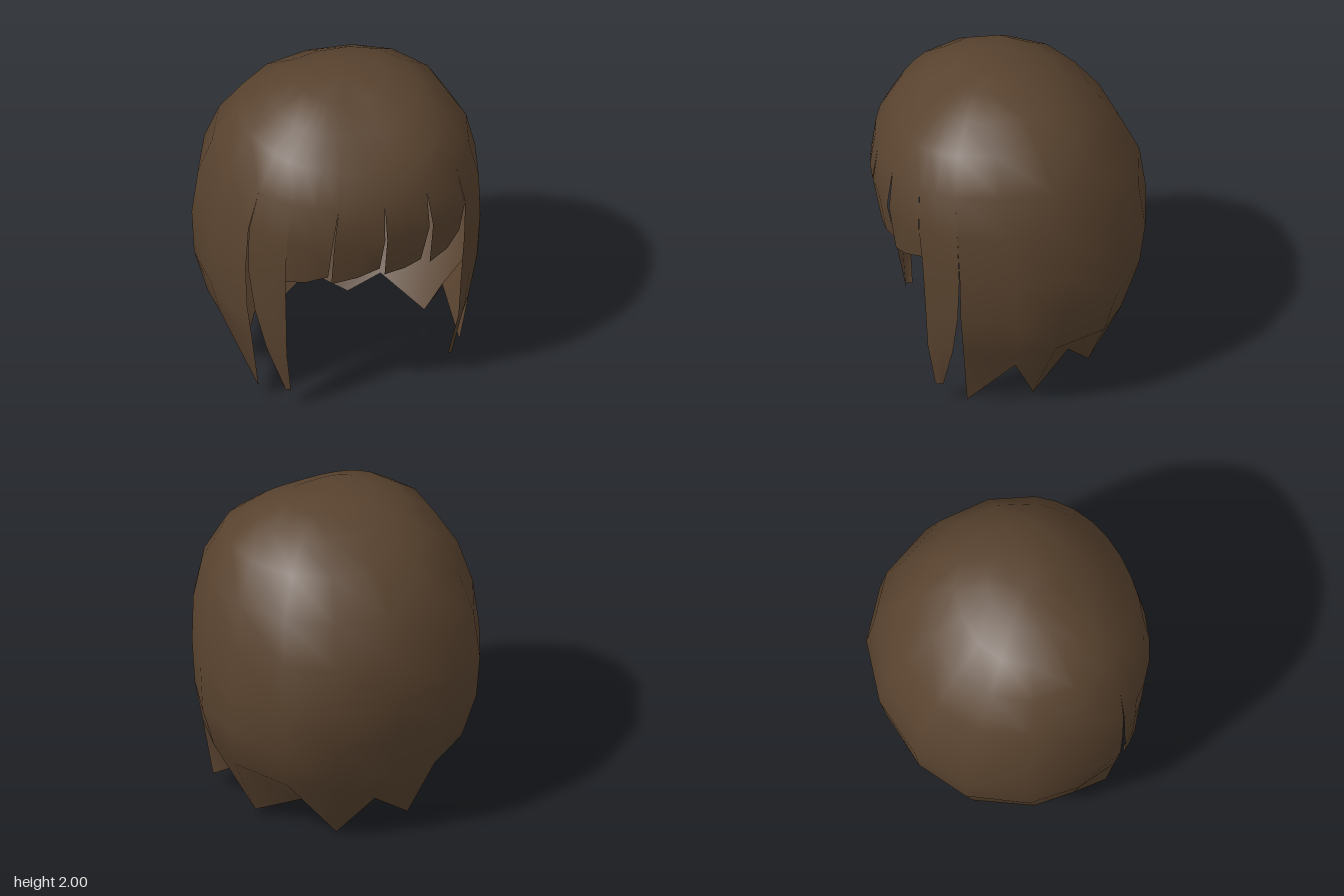
import * as THREE from 'three';

// Head-shaped rings from crown to hem:
// [centre z, front radius, side radius, back radius, front y, side y, back y]
const RINGS = [
  [0.10, 0.00, 0.00, 0.00, 2.00, 2.00, 2.00],
  [0.10, 0.21, 0.26, 0.20, 1.95, 1.97, 1.97],
  [0.10, 0.40, 0.45, 0.38, 1.84, 1.90, 1.90],
  [0.09, 0.58, 0.62, 0.57, 1.69, 1.78, 1.77],
  [0.06, 0.72, 0.75, 0.71, 1.50, 1.56, 1.55],
  [0.02, 0.79, 0.82, 0.79, 1.27, 1.30, 1.30],
  [0.00, 0.76, 0.85, 0.81, 1.00, 1.00, 1.02],
  [0.00, 0.73, 0.84, 0.77, 0.72, 0.72, 0.76],
  [0.00, 0.76, 0.77, 0.65, 0.40, 0.47, 0.40],
  [0.00, 0.84, 0.57, 0.45, 0.00, 0.00, 0.00],
];
const CAP = 4; // ring where the cap ends and the separate strands begin

// Point on the hair surface; azimuth in degrees from the front towards +x
function surface(deg, t, offset = 0) {
  const i = Math.min(Math.floor(t), RINGS.length - 2);
  const [cz, rf, rs, rb, yf, ys, yb] = RINGS[i].map((v, k) => THREE.MathUtils.lerp(v, RINGS[i + 1][k], t - i));
  const a = THREE.MathUtils.degToRad(deg);
  const c = Math.cos(a);
  const full = (c > 0 ? 0.035 : 0.02) * rs * Math.sin(2 * a) ** 2;
  const r = rs + ((c > 0 ? rf : rb) - rs) * c * c + full + offset;
  const y = ys + ((c > 0 ? yf : yb) - ys) * c * c;
  return new THREE.Vector3(r * Math.sin(a), y, cz + r * c);
}

function surfaceNormal(deg, t) {
  const down = surface(deg, t + 0.5).sub(surface(deg, Math.max(t - 0.5, 0)));
  const across = surface(deg + 3, t + 0.02).sub(surface(deg - 3, t + 0.02));
  return t === 0 ? new THREE.Vector3(0, 1, 0) : down.cross(across).normalize();
}

// Ring parameter at a given height
function ringAt(deg, y) {
  let lo = 0, hi = RINGS.length - 1;
  for (let k = 0; k < 30; k++) {
    const mid = (lo + hi) / 2;
    if (surface(deg, mid).y > y) lo = mid; else hi = mid;
  }
  return hi;
}

// Sheet from columns of points; normalAt may override the computed normals
function sheet(name, columns, material, normalAt) {
  const rows = columns[0].length, index = [];
  for (let j = 0; j < columns.length - 1; j++) {
    for (let i = 0; i < rows - 1; i++) {
      const a = j * rows + i, d = a + rows;
      index.push(a, a + 1, d + 1, a, d + 1, d);
    }
  }
  const geometry = new THREE.BufferGeometry().setFromPoints(columns.flat());
  geometry.setIndex(index);
  geometry.computeVertexNormals();
  columns.forEach((col, j) => col.forEach((p, i) => {
    const n = normalAt(j, i);
    if (n) geometry.attributes.normal.setXYZ(j * rows + i, n.x, n.y, n.z);
  }));
  const mesh = new THREE.Mesh(geometry, material);
  mesh.name = name;
  return mesh;
}

// Strand columns: [top azimuth, bottom azimuth, bottom y, bottom offset, bend power]
const mirror = (cols) => cols.map(([a, b, ...rest]) => [-a, -b, ...rest]).reverse();
const lock = (bend) => [
  [42, 43, 0.13, -0.03, 1], [51, 45, 0.13, -0.01, bend], [60, 47, 0.13, -0.03, bend],
];
// Valleys of the hem curl inwards to the line between their tips
const backHalf = [
  [60, 60, 0.08, 0.05, 1], [81, 83, 0.29, -0.06, 1], [105, 94, 0.04, -0.02, 4],
  [130, 126, 0.19, -0.15, 4], [153, 151, 0.0, 0, 4],
];
const PANELS = {
  fringeOuterRight: [[-42, -43, 0.97, -0.02, 1], [-32, -34, 0.995, 0, 1], [-22, -25, 1.02, -0.02, 1]],
  fringeInnerRight: [[-22, -23.5, 0.98, 0, 1], [-11, -12, 1.005, 0, 1], [0, -1.5, 1.03, -0.02, 1]],
  fringeInnerLeft: [[0, 0.4, 0.99, 0, 1], [11, 10, 1.0, 0, 1], [22, 19, 1.01, -0.02, 1]],
  fringeOuterLeft: [[22, 22.5, 0.98, 0, 1], [32, 31.5, 1.02, 0, 1], [42, 42, 1.06, -0.03, 1]],
  sideLockLeft: lock(4.5),
  sideLockRight: mirror(lock(2.5)),
  backHair: [
    ...backHalf,
    [180, 180, 0.18, -0.08, 1],
    ...mirror(backHalf).map(([a, b, ...rest]) => [a + 360, b + 360, ...rest]),
  ],
};

export function createModel() {
  const hair = new THREE.Group();
  hair.name = 'hair';
  const material = new THREE.MeshStandardMaterial({ color: 0x59432f, side: THREE.DoubleSide });

  // Crown, with the same column angles as the strands below it
  const tops = [...new Set(Object.values(PANELS).flat().map(([a]) => (a < -59 ? a + 360 : a)))].sort((p, q) => p - q);
  tops.push(tops[0] + 360);
  const crown = tops.map((a) => Array.from({ length: CAP + 1 }, (_, t) => surface(a, t)));
  hair.add(sheet('crown', crown, material, (j, i) => surfaceNormal(tops[j], i)));

  // Fringe, side locks and the jagged back: whole rings, then the cut end
  for (const [name, cols] of Object.entries(PANELS)) {
    const rows = name.startsWith('fringe') ? 2 : 5;
    const points = cols.map(([top, bottom, y, offset, bend]) => Array.from({ length: rows + 1 }, (_, i) => {
      const azimuth = top + (bottom - top) * (i / rows) ** bend;
      return i < rows ? surface(azimuth, CAP + i) : surface(azimuth, ringAt(bottom, y), offset);
    }));
    hair.add(sheet(name, points, material, (j, i) => (i === 0 ? surfaceNormal(cols[j][0], CAP) : null)));
  }
  return hair;
}
